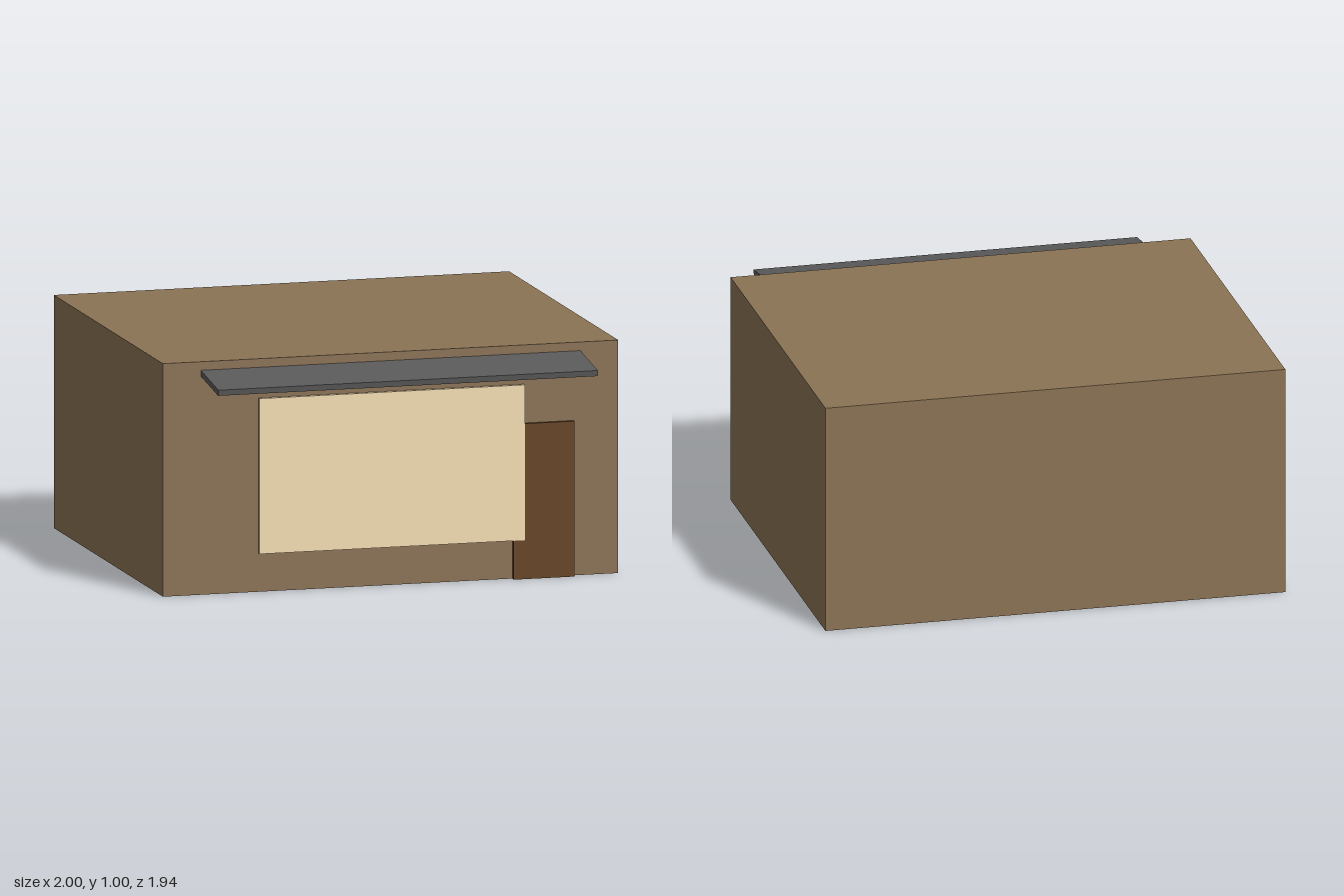
import * as THREE from 'three';

// Adds one box, given its size, centre and colour
function addBox(group, name, size, position, color) {
  const mesh = new THREE.Mesh(
    new THREE.BoxGeometry(...size),
    new THREE.MeshStandardMaterial({ color })
  );
  mesh.name = name;
  mesh.position.set(...position);
  group.add(mesh);
  return mesh;
}

export function createModel() {
  const shop = new THREE.Group();
  shop.name = 'shopBuilding';
  const wallZ = 0.698; // front wall plane
  const depth = 1.667;
  const panelZ = wallZ + 0.017; // thin panels float just off the wall

  // Main block
  addBox(shop, 'building', [2, 1, depth], [0, 0.5, wallZ - depth / 2], 0x8b7355);

  // Shop window, a hair in front of the door it overlaps
  addBox(shop, 'shopWindow', [1.167, 0.667, 0.017], [0, 0.5, panelZ + 0.001], 0xf5deb3);

  // Door at the model's left
  addBox(shop, 'door', [0.267, 0.667, 0.017], [0.667, 0.333, panelZ], 0x654321);

  // Awning sloping down to the front, its rear edge set into the wall
  const awning = addBox(shop, 'awning', [1.667, 0.025, 0.289], [0, 0.933, 0.822], 0x5a5a5a);
  awning.rotation.x = 0.14;

  return shop;
}
